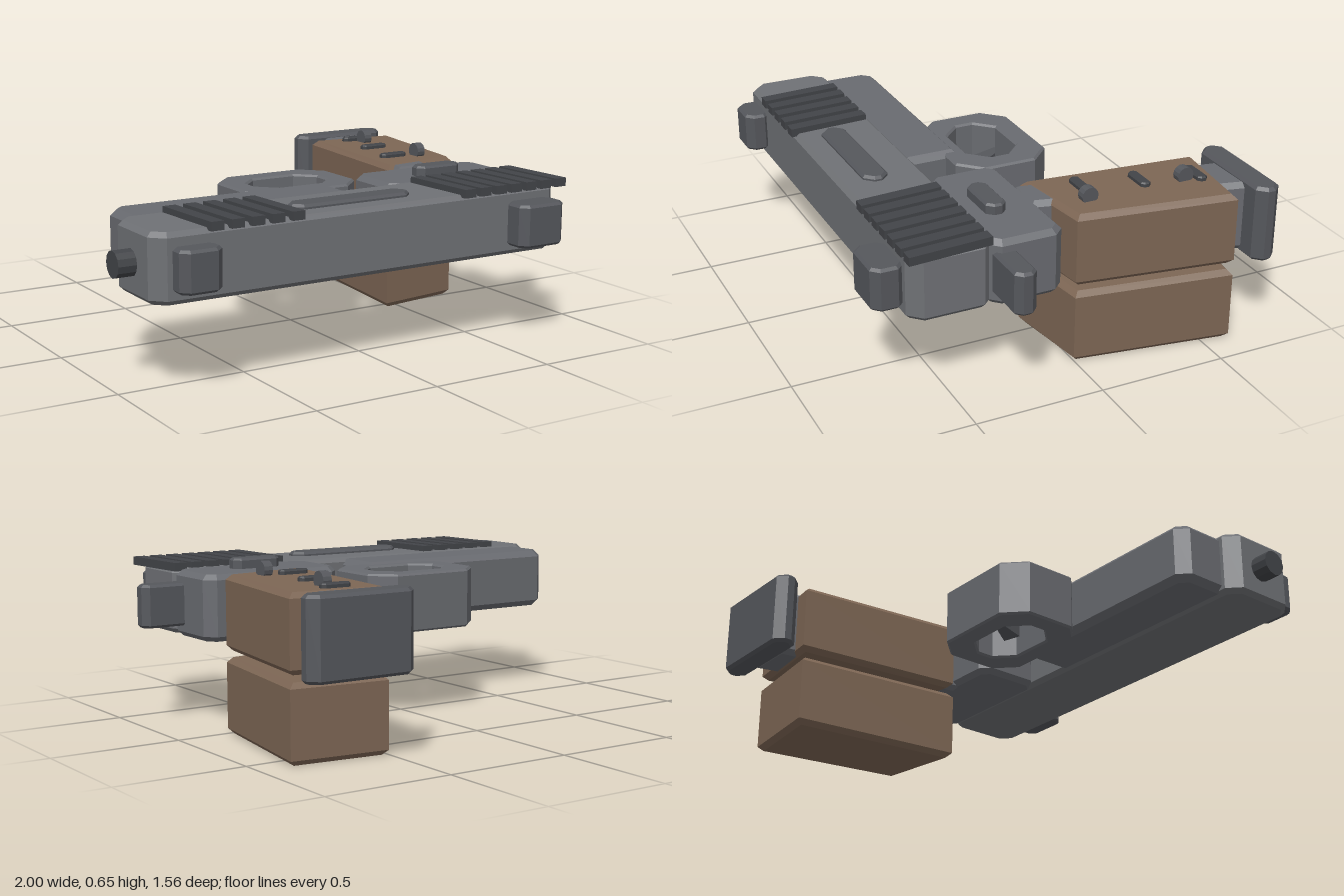
import * as THREE from 'three';

const paint = (color) => new THREE.MeshStandardMaterial({ color, flatShading: true });
const STEEL = paint(0x6f7175), FRAME = paint(0x696b70), TRIM = paint(0x55575c),
  DARK = paint(0x424448), WOOD = paint(0x7d6654);

// Plan outline (x, z) of a rectangle with cut corners
const octagon = (x0, x1, z0, z1, c) => [
  [x0 + c, z0], [x1 - c, z0], [x1, z0 + c], [x1, z1 - c],
  [x1 - c, z1], [x0 + c, z1], [x0, z1 - c], [x0, z0 + c],
];

const vectors = (points) => points.map(([x, z]) => new THREE.Vector2(x, -z));

// Upright prism over a plan outline, from y0 to y1, with chamfered rims
function prism(points, y0, y1, bevel = 0, hole = null) {
  const shape = new THREE.Shape(vectors(points));
  if (hole) shape.holes.push(new THREE.Path(vectors(hole).reverse()));
  const geometry = new THREE.ExtrudeGeometry(shape, {
    depth: y1 - y0 - 2 * bevel,
    bevelEnabled: bevel > 0,
    bevelThickness: bevel,
    bevelSize: bevel,
    bevelOffset: -bevel,
    bevelSegments: 1,
  });
  return geometry.rotateX(-Math.PI / 2).translate(0, y0 + bevel, 0);
}

export function createModel() {
  const model = new THREE.Group();
  const add = (name, geometry, material) => {
    const mesh = new THREE.Mesh(geometry, material);
    mesh.name = name;
    model.add(mesh);
  };

  // Slide and muzzle
  add('slide', prism(octagon(-0.93, 0.82, 0.33, 0.66, 0.05), 0.335, 0.59, 0.018), STEEL);
  const muzzle = new THREE.CylinderGeometry(0.05, 0.05, 0.12, 12).rotateZ(Math.PI / 2);
  add('muzzle', muzzle.translate(-0.94, 0.46, 0.48), DARK);
  add('slidePanel', prism(octagon(-0.32, 0.195, 0.47, 0.57, 0.035), 0.57, 0.607, 0.01), TRIM);

  // Slanted grip ribs near both ends of the slide
  const ribs = (name, start, count, pitch) => {
    for (let i = 0; i < count; i++) {
      const x = start + i * pitch;
      add(name, prism([[x, 0.35], [x + 0.05, 0.35], [x + 0.072, 0.672], [x + 0.022, 0.672]], 0.58, 0.613), DARK);
    }
  };
  ribs('frontRib', -0.74, 5, 0.081);
  ribs('rearRib', 0.335, 7, 0.0725);

  // Sights and tail
  add('frontSight', prism(octagon(-0.865, -0.7, 0.64, 0.745, 0.03), 0.385, 0.54, 0.01), TRIM);
  add('rearSight', prism(octagon(0.555, 0.765, 0.65, 0.775, 0.03), 0.38, 0.545, 0.01), TRIM);
  add('tail', prism(octagon(0.75, 0.998, 0.26, 0.345, 0.025), 0.38, 0.545, 0.01), TRIM);

  // Frame under the slide
  add('frontFrame', prism([[-0.82, 0.13], [0.06, 0.13], [0.06, 0.36], [-0.865, 0.36], [-0.865, 0.175]],
    0.345, 0.585, 0.025), FRAME);
  add('rearFrame', prism(octagon(0.24, 0.83, 0.07, 0.36, 0.04), 0.335, 0.59, 0.02), FRAME);
  add('catchButton', prism(octagon(0.43, 0.635, 0.2, 0.28, 0.025), 0.58, 0.63, 0.008), TRIM);

  // Trigger guard and trigger
  add('triggerGuard', prism(octagon(-0.27, 0.235, -0.195, 0.188, 0.085), 0.345, 0.575, 0.008,
    octagon(-0.18, 0.145, -0.105, 0.105, 0.07)), FRAME);
  add('trigger', prism([[-0.04, -0.07], [0.015, -0.045], [0.08, 0.045], [0.005, 0.065]], 0.4, 0.52), TRIM);

  // Grip core with two wooden blocks, one above the other
  add('gripCore', prism([[0.45, 0.1], [0.615, 0.1], [0.81, -0.7], [0.59, -0.7]], 0.32, 0.597, 0.02), FRAME);
  const gripPlan = [[0.505, -0.645], [0.885, -0.605], [0.79, 0.005], [0.435, 0.055]];
  add('upperGrip', prism(gripPlan, 0.315, 0.6, 0.02), WOOD);
  add('lowerGrip', prism(gripPlan, 0, 0.29, 0.02), WOOD);
  add('basePlate', prism(octagon(0.475, 0.91, -0.785, -0.685, 0.035), 0.31, 0.61, 0.012), TRIM);

  // Inlays and studs on the upper grip
  for (const [x, z] of [[0.67, -0.555], [0.625, -0.34], [0.575, -0.12]]) {
    add('gripInlay', prism(octagon(x - 0.06, x + 0.06, z - 0.02, z + 0.02, 0.012), 0.585, 0.617, 0.005), DARK);
  }
  for (const z of [-0.495, -0.095]) {
    const stud = new THREE.CylinderGeometry(0.033, 0.033, 0.035, 14).rotateZ(Math.PI / 2);
    add('gripStud', stud.translate(0.682, 0.62, z), TRIM);
  }

  return model;
}
